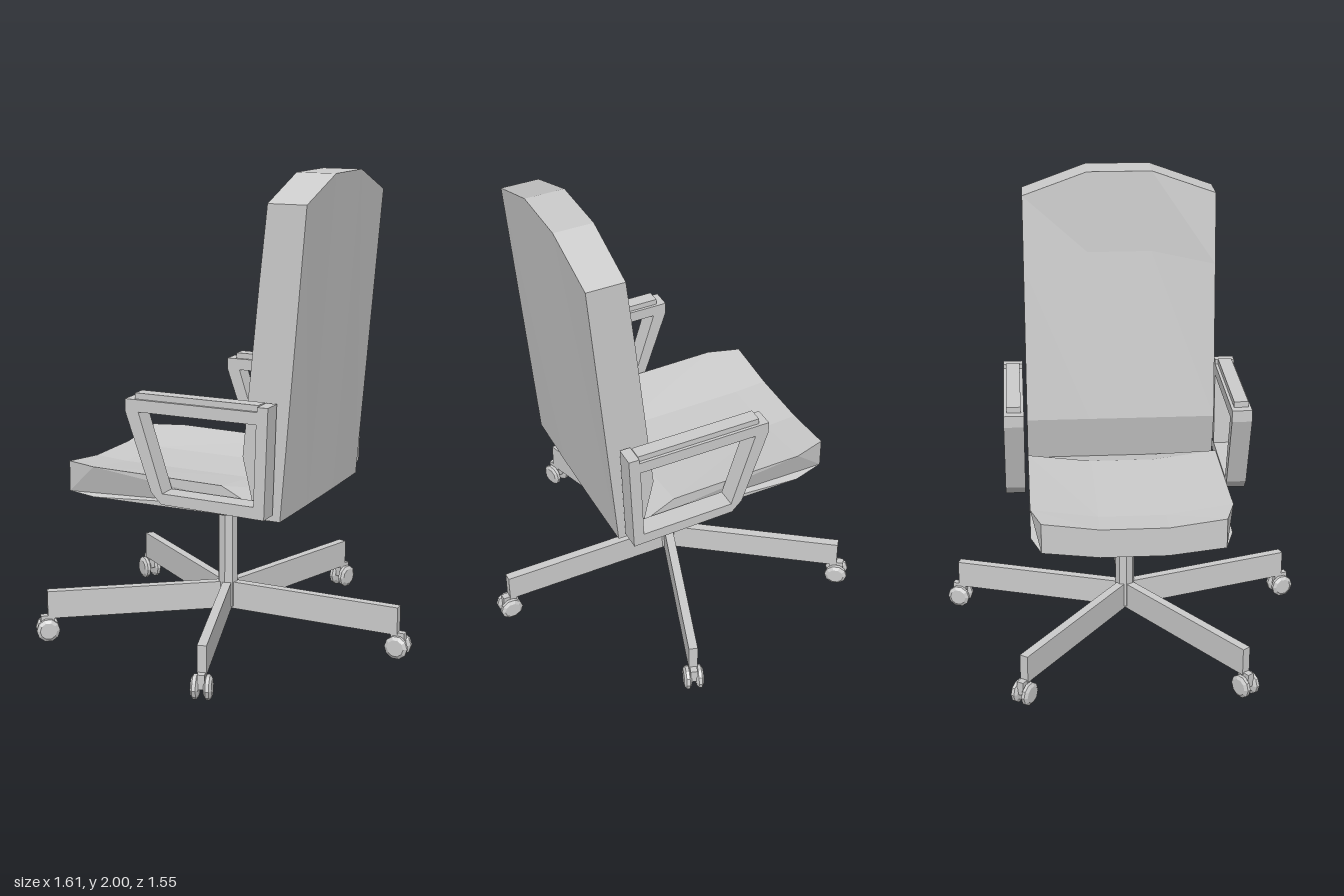
import * as THREE from 'three';

const material = new THREE.MeshStandardMaterial({ color: 0xcccccc, flatShading: true });

function part(parent, name, geometry, x = 0, y = 0, z = 0) {
  const mesh = new THREE.Mesh(geometry, material);
  mesh.name = name;
  mesh.position.set(x, y, z);
  parent.add(mesh);
  return mesh;
}

// Seat and back as one shell: side profiles [y, z, halfWidth] lofted across the width
function shellGeometry() {
  const outer = [
    [0.65, -0.425, 0.42], [1.9, -0.525, 0.42], [1.9, -0.363, 0.42], [1.59, -0.33, 0.42],
    [0.9, -0.263, 0.42], [0.7, -0.31, 0.42], [0.77, -0.17, 0.42], [0.78, 0.42, 0.42],
    [0.78, 0.56, 0.378], [0.65, 0.56, 0.378], [0.65, 0.42, 0.42],
  ];
  const inner = [
    [0.65, -0.428, 0.14], [2, -0.53, 0.14], [2, -0.363, 0.14], [1.65, -0.345, 0.14],
    [0.9, -0.263, 0.14], [0.7, -0.31, 0.14], [0.735, -0.17, 0.14], [0.74, 0.42, 0.14],
    [0.75, 0.565, 0.14], [0.625, 0.565, 0.14], [0.645, 0.42, 0.14],
  ];
  const n = outer.length;
  const positions = [];
  const index = [];
  [[outer, -1], [inner, -1], [inner, 1], [outer, 1]].forEach(([profile, side]) => {
    for (const [y, z, w] of profile) positions.push(side * w, y, z);
  });
  for (let s = 0; s < 3; s++) {
    for (let i = 0; i < n; i++) {
      const j = (i + 1) % n;
      const a = s * n + i, b = s * n + j, c = b + n, d = a + n;
      index.push(a, b, c, a, c, d);
    }
  }
  // Side caps
  const contour = outer.map(([y, z]) => new THREE.Vector2(y, z));
  for (const [a, b, c] of THREE.ShapeUtils.triangulateShape(contour, [])) {
    index.push(a, c, b, 3 * n + a, 3 * n + b, 3 * n + c);
  }
  const geometry = new THREE.BufferGeometry();
  geometry.setAttribute('position', new THREE.Float32BufferAttribute(positions, 3));
  geometry.setIndex(index);
  const flat = geometry.toNonIndexed();
  flat.computeVertexNormals();
  return flat;
}

const points = (list) => list.map(([x, y]) => new THREE.Vector2(x, y));

// Closed armrest loop, drawn in side view and extruded across its width
function armGeometry() {
  const shape = new THREE.Shape(points([
    [-0.4, 0.68], [0.05, 0.69], [0.095, 0.735], [0.21, 1.06], [0.21, 1.11],
    [-0.37, 1.11], [-0.37, 1.13], [-0.415, 1.13],
  ]));
  shape.holes.push(new THREE.Path(points([
    [-0.355, 0.73], [-0.365, 1.06], [0.15, 1.06], [0.045, 0.735],
  ])));
  return new THREE.ExtrudeGeometry(shape, { depth: 0.085, bevelEnabled: false }).rotateY(-Math.PI / 2);
}

// Wheel with chamfered rims, axle along x
function wheelGeometry() {
  const profile = points([[0, -0.016], [0.036, -0.016], [0.05, -0.007], [0.05, 0.007], [0.036, 0.016], [0, 0.016]]);
  return new THREE.LatheGeometry(profile, 10).rotateZ(Math.PI / 2);
}

export function createModel() {
  const model = new THREE.Group();
  model.name = 'officeChair';
  const chair = new THREE.Group();
  chair.name = 'chair';
  chair.position.z = 0.075;
  model.add(chair);

  // Swivelled upper half
  const upper = new THREE.Group();
  upper.name = 'swivelSeat';
  upper.rotation.y = -2.473;
  chair.add(upper);
  part(upper, 'seatAndBack', shellGeometry());
  for (const side of [1, -1]) {
    const name = side > 0 ? 'left' : 'right';
    part(upper, name + 'Armrest', armGeometry(), side > 0 ? 0.52 : -0.435);
    part(upper, name + 'ArmPad', new THREE.BoxGeometry(0.06, 0.025, 0.54), side * 0.4775, 1.1225, -0.1);
  }

  // Column and collar
  part(chair, 'column', new THREE.CylinderGeometry(0.043, 0.043, 0.44, 8), 0, 0.33, 0);
  part(chair, 'collar', new THREE.LatheGeometry(
    points([[0, 0.53], [0.07, 0.53], [0.092, 0.565], [0.092, 0.66], [0, 0.66]]), 8));

  // Five-legged base, each leg pointing along its own +z
  for (let i = 0; i < 5; i++) {
    const leg = new THREE.Group();
    leg.name = 'baseLeg' + (i + 1);
    const angle = THREE.MathUtils.degToRad(-92.3 + 72 * i);
    leg.rotation.y = Math.PI / 2 - angle;
    chair.add(leg);
    part(leg, 'legBeam', new THREE.BoxGeometry(0.038, 0.12, 0.785), 0, 0.16, 0.3925);
    part(leg, 'casterFork', new THREE.BoxGeometry(0.03, 0.06, 0.06), 0, 0.08, 0.785);
    for (const side of [1, -1]) {
      part(leg, 'casterWheel', wheelGeometry(), side * 0.026, 0.05, 0.785);
    }
  }
  return model;
}
